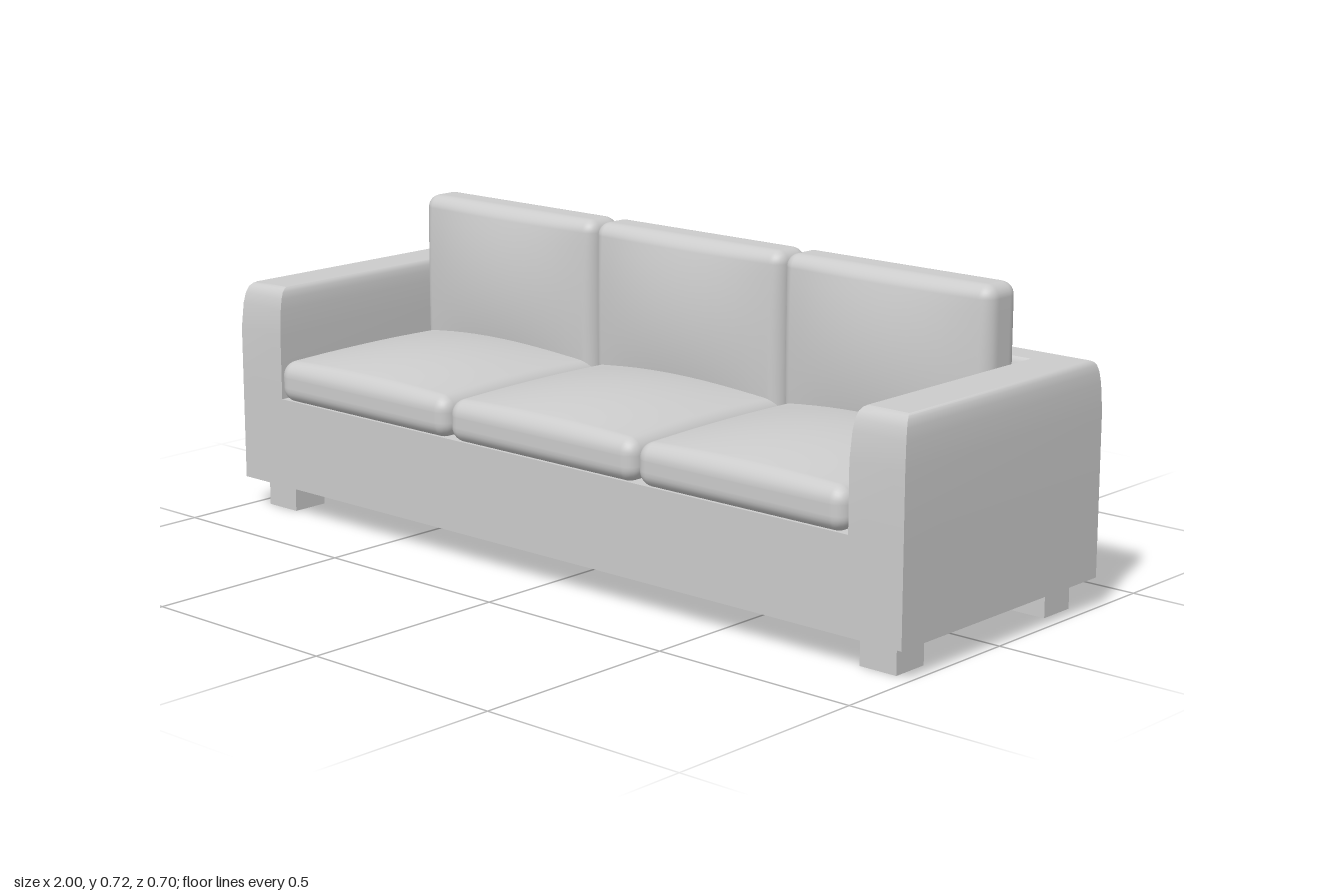
import * as THREE from 'three';
import { mergeVertices, toCreasedNormals } from 'three/addons/utils/BufferGeometryUtils.js';

const material = new THREE.MeshStandardMaterial({ color: 0xcccccc });
const shellMaterial = new THREE.MeshStandardMaterial({ color: 0xcccccc, side: THREE.DoubleSide });

function addMesh(parent, name, geometry, mat = material) {
  const mesh = new THREE.Mesh(geometry, mat);
  mesh.name = name;
  parent.add(mesh);
  return mesh;
}

// Walls joining closed rings of points, ring by ring
function loft(rings) {
  const n = rings[0].length;
  const index = [];
  for (let r = 0; r < rings.length - 1; r++) {
    for (let i = 0; i < n; i++) {
      const a = r * n + i, b = r * n + (i + 1) % n;
      index.push(a, a + n, b, b, a + n, b + n);
    }
  }
  const geometry = new THREE.BufferGeometry();
  geometry.setAttribute('position', new THREE.Float32BufferAttribute(rings.flat(2), 3));
  geometry.setIndex(index);
  return toCreasedNormals(geometry, 0.7);
}

// Box with rounded edges; one face swells by `puff` along `axis`
function cushionGeometry(size, radius, axis, puff) {
  const n = 20, corner = 4;
  const geometry = new THREE.BoxGeometry(1, 1, 1, n, n, n);
  geometry.deleteAttribute('uv');
  geometry.deleteAttribute('normal');
  const half = size.map((s) => s / 2);
  const spread = (u, h) => {
    const k = Math.round((u + 0.5) * n);
    const edge = Math.min(k, n - k);
    if (edge >= corner) return (h - radius) * ((k - n / 2) / (n / 2 - corner));
    const t = radius * Math.tan((1 - edge / corner) * Math.PI / 4);
    return Math.sign(u) * (h - radius + t);
  };
  const pos = geometry.attributes.position;
  const p = new THREE.Vector3(), core = new THREE.Vector3();
  for (let i = 0; i < pos.count; i++) {
    p.fromBufferAttribute(pos, i);
    p.set(...p.toArray().map((u, a) => spread(u, half[a])));
    core.set(...p.toArray().map((v, a) => THREE.MathUtils.clamp(v, radius - half[a], half[a] - radius)));
    p.sub(core).setLength(radius).add(core);
    const v = p.toArray();
    let swell = puff * THREE.MathUtils.smoothstep(v[axis], 0, half[axis]);
    for (let a = 0; a < 3; a++) if (a !== axis) swell *= 1 - (v[a] / half[a]) ** 2;
    v[axis] += swell;
    pos.setXYZ(i, ...v);
  }
  const smooth = mergeVertices(geometry, 1e-5);
  smooth.computeVertexNormals();
  return smooth;
}

export function createModel() {
  const sofa = new THREE.Group();
  sofa.name = 'sofa';
  const front = 0.335, back = -0.35, innerX = 0.86, innerZ = -0.24;
  const seatY = 0.285, baseY = 0.07, topY = 0.55;

  // Plan of both arms and the back, shrunk by d
  const plan = (d) => {
    const f = front - d * 1.8, side = 1 - d, ix = innerX + d * 0.8;
    return [[-side, f], [-side, back + d], [side, back + d], [side, f],
      [ix, f], [ix, innerZ - d], [-ix, innerZ - d], [-ix, f]];
  };

  const frame = new THREE.Group();
  frame.name = 'frame';
  sofa.add(frame);

  // Lower skirt, open underneath
  const skirt = [[-1, front], [-1, back], [1, back], [1, front]];
  addMesh(frame, 'baseSkirt', loft([baseY, seatY].map((y) => skirt.map(([x, z]) => [x, y, z]))), shellMaterial);

  // Arms and back with softened top edges
  const profile = [[seatY, 0], [0.44, 0], [0.5, 0.003], [0.525, 0.006], [0.54, 0.01], [0.547, 0.015], [topY, 0.02]];
  addMesh(frame, 'armsAndBack', loft(profile.map(([y, d]) => plan(d).map(([x, z]) => [x, y, z]))), shellMaterial);
  const cap = new THREE.ShapeGeometry(new THREE.Shape(plan(0.02).map(([x, z]) => new THREE.Vector2(x, -z))));
  cap.rotateX(-Math.PI / 2).translate(0, topY, 0);
  addMesh(frame, 'armsAndBackTop', cap, shellMaterial);

  // Deck under the cushions
  const deck = new THREE.PlaneGeometry(innerX * 2, front - innerZ).rotateX(-Math.PI / 2);
  addMesh(frame, 'seatDeck', deck, shellMaterial).position.set(0, seatY, (front + innerZ) / 2);

  // Three seat and back cushions
  const seat = cushionGeometry([0.566, 0.097, 0.585], 0.034, 1, 0.036);
  const rest = cushionGeometry([0.566, 0.43, 0.105], 0.03, 2, 0.034);
  for (const i of [-1, 0, 1]) {
    addMesh(sofa, 'seatCushion', seat).position.set(i * 0.572, 0.332, 0.0575);
    addMesh(sofa, 'backCushion', rest).position.set(i * 0.572, 0.505, -0.1875);
  }

  // Block legs
  const leg = new THREE.BoxGeometry(0.094, baseY, 0.091);
  for (const x of [-0.912, 0.912]) {
    for (const z of [0.251, -0.265]) addMesh(sofa, 'leg', leg).position.set(x, baseY / 2, z);
  }
  return sofa;
}
